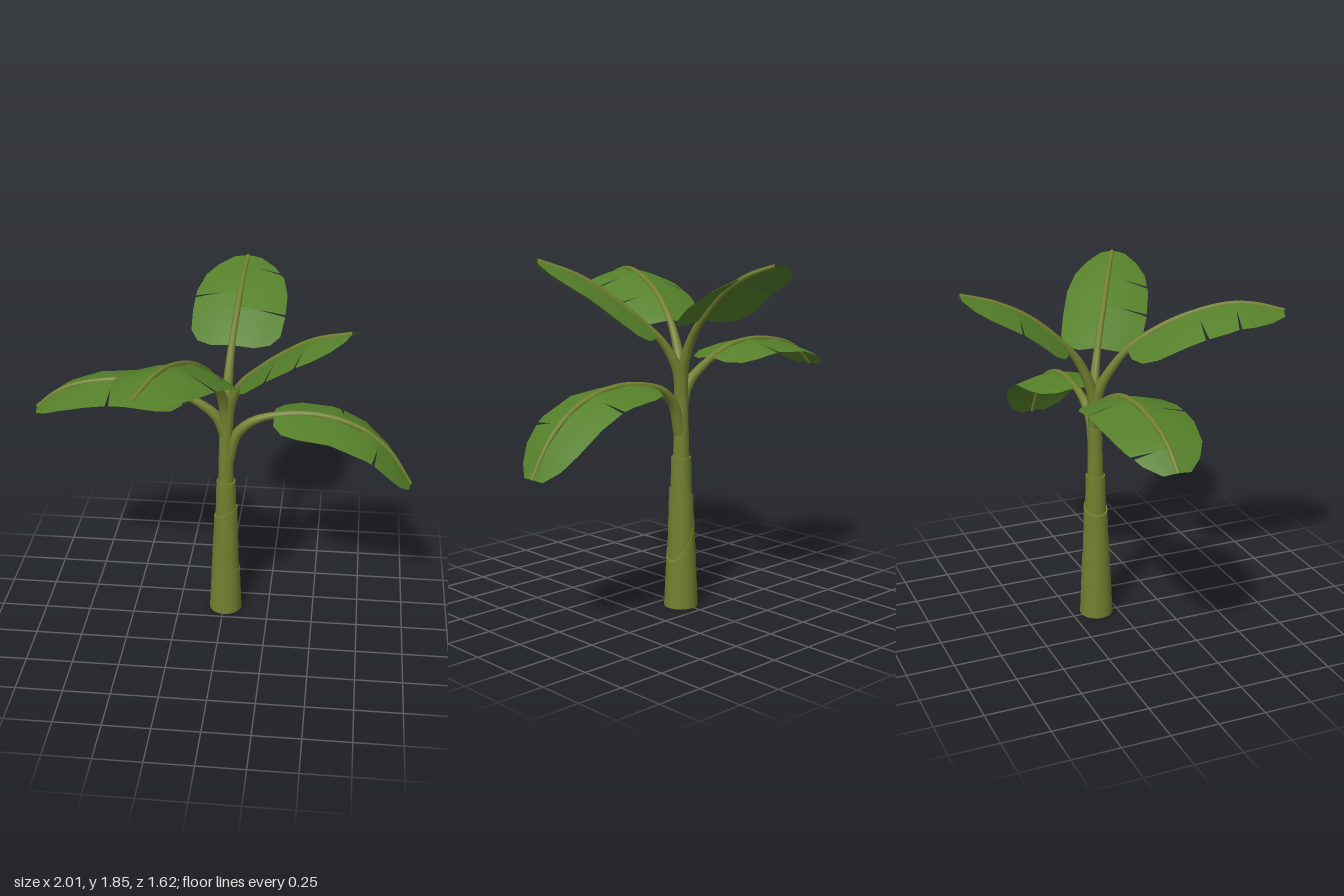
import * as THREE from 'three';

const STEM = new THREE.Vector3(0.01, 0, -0.115);
const leafGreen = new THREE.MeshStandardMaterial({ name: 'leaf green', color: 0x55802a, side: THREE.DoubleSide });
const stemOlive = new THREE.MeshStandardMaterial({ name: 'stem olive', color: 0x71802f });

// Blade outline: fraction along the blade -> fraction of the half width
const OUTLINE = [[0, 0.45], [0.05, 0.78], [0.15, 0.96], [0.35, 1], [0.6, 0.98], [0.8, 0.85], [0.92, 0.62], [1, 0.3]];
const COLUMNS = [0, 0.4, 0.7, 1];
const SLIT = 0.011;

function outlineAt(t) {
  for (let i = 1; i < OUTLINE.length; i++) {
    const [t0, w0] = OUTLINE[i - 1], [t1, w1] = OUTLINE[i];
    if (t <= t1) return THREE.MathUtils.lerp(w0, w1, (t - t0) / (t1 - t0));
  }
  return OUTLINE[OUTLINE.length - 1][1];
}

// Conical sheath wrapped round the stem, its top cut at a slant towards +x or -x
function sheath(name, y0, y1, r0, r1, slant = 0) {
  const g = new THREE.CylinderGeometry(1, 1, 1, 24, 4);
  const p = g.attributes.position;
  for (let i = 0; i < p.count; i++) {
    const k = p.getY(i) + 0.5, x = p.getX(i), z = p.getZ(i);
    const y = y0 + k * (y1 - y0 + slant * x);
    const r = THREE.MathUtils.lerp(r0, r1, (y - y0) / (y1 - y0 + Math.abs(slant)));
    p.setXYZ(i, x * r, y, z * r);
  }
  g.computeVertexNormals();
  const m = new THREE.Mesh(g, stemOlive);
  m.name = name;
  m.position.copy(STEM);
  return m;
}

// Stalk that tapers into the midrib
function stalk(curve, start) {
  const n = 40, sides = 10;
  const g = new THREE.TubeGeometry(curve, n, 1, sides);
  const p = g.attributes.position, v = new THREE.Vector3();
  for (let i = 0; i <= n; i++) {
    const u = i / n, c = curve.getPointAt(u);
    const r = u < start ? THREE.MathUtils.lerp(0.036, 0.019, u / start)
      : THREE.MathUtils.lerp(0.019, 0.011, (u - start) / (1 - start));
    for (let j = 0; j <= sides; j++) {
      const k = i * (sides + 1) + j;
      v.fromBufferAttribute(p, k).sub(c).multiplyScalar(r).add(c);
      p.setXYZ(k, v.x, v.y - r * 0.3, v.z);
    }
  }
  const m = new THREE.Mesh(g, stemOlive);
  m.name = 'stalkAndMidrib';
  return m;
}

// One half of a blade: strips of rows, parted by wedge-shaped slits
function halfBlade(curve, start, sign, { half, droop, slits }) {
  const pos = [], idx = [], cuts = [0, ...slits, 1];
  for (let s = 0; s + 1 < cuts.length; s++) {
    const a = cuts[s], b = cuts[s + 1];
    const rows = [a, ...OUTLINE.map(o => o[0]).filter(t => t > a + 0.025 && t < b - 0.025), b];
    rows.forEach((row, i) => {
      const base = pos.length / 3;
      for (const v of COLUMNS) {
        const open = SLIT * Math.max(0, (v - 0.4) / 0.6);
        let t = row;
        if (i === 0 && s > 0) t += open;
        if (i === rows.length - 1 && b < 1) t -= open;
        const u = start + t * (1 - start);
        const c = curve.getPointAt(u), tan = curve.getTangentAt(u);
        const side = new THREE.Vector3(-tan.z, 0, tan.x).normalize();
        const up = new THREE.Vector3().crossVectors(side, tan).normalize();
        const w = outlineAt(t);
        c.addScaledVector(side, sign * half * w * v).addScaledVector(up, -droop * Math.pow(w * v, 1.3));
        pos.push(c.x, c.y, c.z);
      }
      if (i === 0) return;
      const n = COLUMNS.length;
      for (let j = 0; j + 1 < n; j++) {
        const q = base + j, o = q - n;
        if (sign > 0) idx.push(o, q + 1, o + 1, o, q, q + 1);
        else idx.push(o, o + 1, q + 1, o, q + 1, q);
      }
    });
  }
  // Faces wind so that the upper surface is the front
  for (let i = 0; i < idx.length; i += 3) [idx[i + 1], idx[i + 2]] = [idx[i + 2], idx[i + 1]];
  const g = new THREE.BufferGeometry();
  g.setAttribute('position', new THREE.Float32BufferAttribute(pos, 3));
  g.setIndex(idx);
  g.computeVertexNormals();
  const m = new THREE.Mesh(g, leafGreen);
  m.name = sign > 0 ? 'bladeHalfA' : 'bladeHalfB';
  return m;
}

function leaf({ name, path, reach, half, droop, slitsA, slitsB }) {
  const group = new THREE.Group();
  group.name = name;
  const curve = new THREE.CatmullRomCurve3(path.map(p => new THREE.Vector3(...p)));
  // The blade begins at a set distance out from the stem
  let start = 0;
  for (; start < 0.6; start += 0.005) {
    const p = curve.getPointAt(start);
    if (Math.hypot(p.x - STEM.x, p.z - STEM.z) > reach) break;
  }
  group.add(stalk(curve, start),
    halfBlade(curve, start, 1, { half, droop, slits: slitsA }),
    halfBlade(curve, start, -1, { half, droop, slits: slitsB }));
  return group;
}

const LEAVES = [
  { name: 'rightLeaf', reach: 0.21, half: 0.232, droop: 0.05, slitsA: [0.33, 0.85], slitsB: [0.46],
    path: [[0.02, 1.06, -0.115], [-0.04, 1.2, -0.115], [-0.2, 1.31, -0.117], [-0.35, 1.367, -0.118], [-0.5, 1.385, -0.118],
      [-0.65, 1.375, -0.118], [-0.8, 1.34, -0.118], [-0.9, 1.29, -0.118], [-1, 1.205, -0.118]] },
  { name: 'leftLeaf', reach: 0.25, half: 0.232, droop: 0.05, slitsA: [0.66], slitsB: [0.42],
    path: [[0.02, 0.95, -0.115], [0.065, 1.1, -0.115], [0.15, 1.18, -0.117], [0.27, 1.22, -0.118], [0.45, 1.235, -0.118],
      [0.6, 1.21, -0.118], [0.75, 1.145, -0.118], [0.88, 1.03, -0.118], [0.995, 0.85, -0.118]] },
  { name: 'backLeaf', reach: 0.15, half: 0.25, droop: 0.065, slitsA: [0.36, 0.84], slitsB: [0.52],
    path: [[0.01, 1.12, -0.115], [0.012, 1.28, -0.13], [0.018, 1.45, -0.2], [0.025, 1.56, -0.29], [0.04, 1.7, -0.45],
      [0.05, 1.79, -0.62], [0.06, 1.845, -0.8]] },
  { name: 'frontLeaf', reach: 0.16, half: 0.25, droop: 0.085, slitsA: [0.47, 0.7], slitsB: [0.27, 0.57],
    path: [[0.01, 1.1, -0.115], [0, 1.28, -0.1], [-0.03, 1.42, -0.03], [-0.065, 1.53, 0.06], [-0.14, 1.66, 0.26],
      [-0.22, 1.735, 0.5], [-0.27, 1.735, 0.64], [-0.325, 1.7, 0.785]] },
  { name: 'frontLeftLeaf', reach: 0.14, half: 0.225, droop: 0.08, slitsA: [0.38, 0.66], slitsB: [],
    path: [[0.01, 1.1, -0.115], [0.035, 1.28, -0.11], [0.1, 1.42, -0.07], [0.2, 1.535, -0.01], [0.33, 1.66, 0.07],
      [0.47, 1.765, 0.15], [0.65, 1.845, 0.25]] },
];

export function createModel() {
  const model = new THREE.Group();
  model.name = 'broadLeafPlant';
  // Layered trunk
  model.add(
    sheath('lowerSheath', 0, 0.38, 0.09, 0.068, -0.13),
    sheath('middleSheath', 0, 0.625, 0.08, 0.063, 0.03),
    sheath('upperSheath', 0.4, 0.81, 0.062, 0.052),
    sheath('innerStem', 0.7, 1.24, 0.045, 0.033),
  );
  for (const spec of LEAVES) model.add(leaf(spec));
  return model;
}
